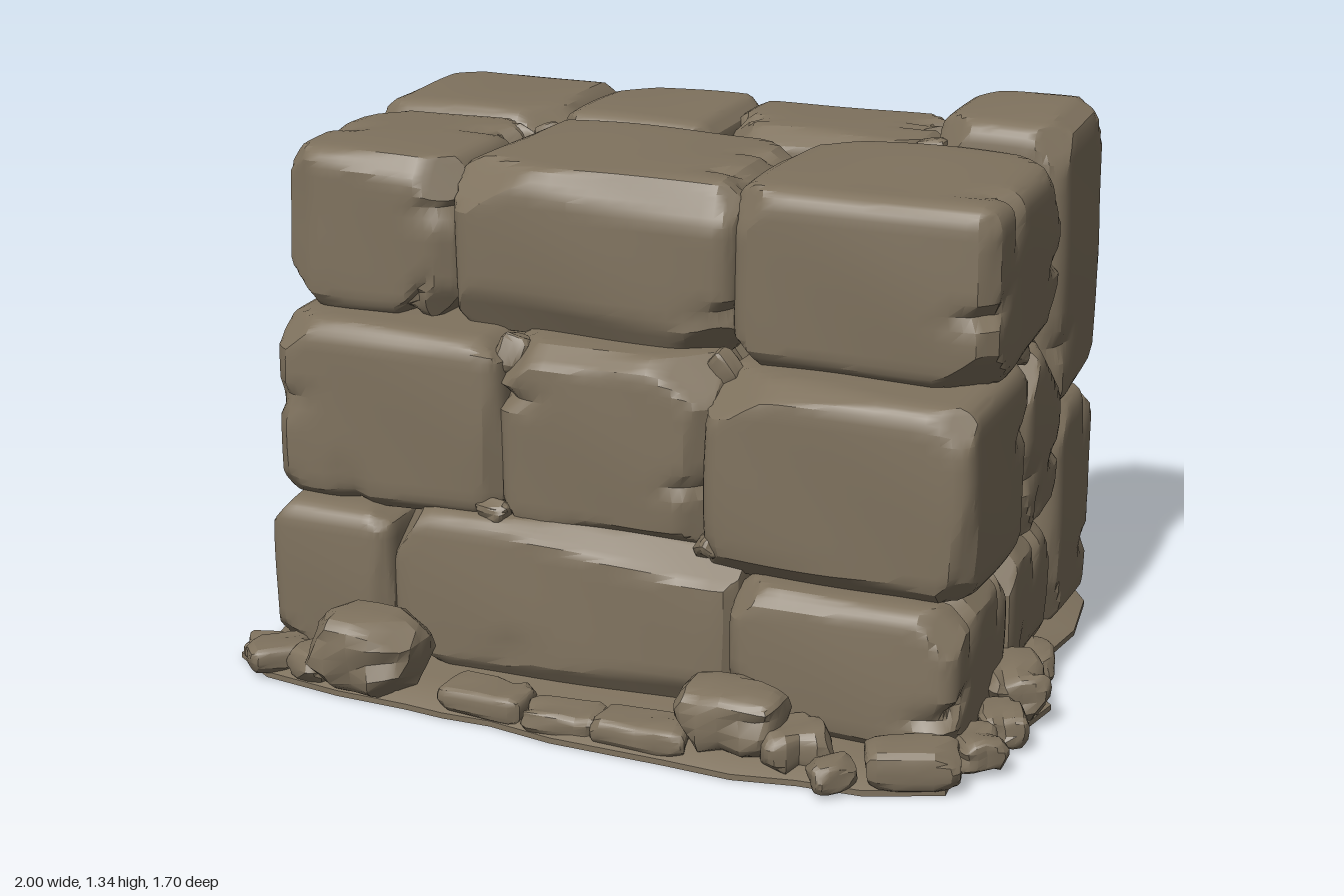
import * as THREE from 'three';
import { toCreasedNormals } from 'three/addons/utils/BufferGeometryUtils.js';

const stoneMat = new THREE.MeshStandardMaterial({ color: 0x7f725e });
stoneMat.name = 'weathered stone';

// small seeded random generator
function seeded(seed) {
  let s = seed * 7919 + 17;
  return (a = 0, b = 1) => {
    s = (s + 0x6d2b79f5) | 0;
    let t = Math.imul(s ^ (s >>> 15), 1 | s);
    t = (t + Math.imul(t ^ (t >>> 7), 61 | t)) ^ t;
    return a + (b - a) * (((t ^ (t >>> 14)) >>> 0) / 4294967296);
  };
}

// rounded block with planar chips, notched edges and a slight bulge
function stoneGeometry(w, h, d, seed, n = 18, wear = 1) {
  const rnd = seeded(seed);
  const half = new THREE.Vector3(w / 2, h / 2, d / 2);
  const least = Math.min(w, h, d);
  const r = Math.min(0.05, least * 0.25);
  const unit = Math.min(1, least / 0.35) * wear;

  // cutting planes on every corner and edge
  const cuts = [];
  const cut = (m, s, depth) => {
    const normal = new THREE.Vector3(...m).normalize();
    const corner = new THREE.Vector3(...s).multiply(half);
    cuts.push(new THREE.Plane(normal, -normal.dot(corner) + depth * unit));
  };
  for (const sx of [-1, 0, 1]) for (const sy of [-1, 0, 1]) for (const sz of [-1, 0, 1]) {
    const s = [sx, sy, sz];
    const zeros = s.filter((v) => v === 0).length;
    if (zeros > 1) continue;
    const m = s.map((v) => (v === 0 ? rnd(-0.08, 0.08) : v * rnd(0.4, 1)));
    cut(m, s, zeros ? rnd(0.015, 0.045) : rnd(0.05, 0.1));
  }

  // V-shaped notches across edges
  const axes = ['x', 'y', 'z'];
  const notches = [];
  for (let i = 0; i < 4; i++) {
    const k = Math.floor(rnd(0, 3));
    notches.push({
      a: axes[k], b: axes[(k + 1) % 3], c: axes[(k + 2) % 3],
      sb: rnd() < 0.5 ? -1 : 1, sc: rnd() < 0.5 ? -1 : 1,
      t: rnd(-0.6, 0.6), slant: rnd(-0.5, 0.5),
    });
  }

  const geo = new THREE.BoxGeometry(2, 2, 2, n, n, n);
  const pos = geo.attributes.position;
  const p = new THREE.Vector3(), q = new THREE.Vector3();
  const inner = half.clone().subScalar(r), low = inner.clone().negate();
  const spread = (c) => 0.55 * Math.sin((c * Math.PI) / 2) + 0.45 * c;
  const phase = rnd(0, 6);
  for (let i = 0; i < pos.count; i++) {
    p.fromBufferAttribute(pos, i);
    p.set(spread(p.x), spread(p.y), spread(p.z)).multiply(half);
    q.copy(p).clamp(low, inner);
    p.sub(q).setLength(r).add(q);
    const x = p.x / half.x, y = p.y / half.y, z = p.z / half.z;
    p.x *= 1 - 0.02 * (y * y + z * z);
    p.y *= 1 - 0.02 * (x * x + z * z);
    p.z *= 1 - 0.02 * (x * x + y * y);
    for (const c of notches) {
      const along = Math.abs(p[c.a] - c.t * half[c.a] - c.slant * (p[c.b] - c.sb * half[c.b]));
      const off = Math.hypot(p[c.b] - c.sb * half[c.b], p[c.c] - c.sc * half[c.c]);
      const pull = Math.max(0, 1 - along / 0.03) * Math.max(0, 1 - off / 0.14) * 0.035 * unit;
      p[c.b] -= c.sb * pull;
      p[c.c] -= c.sc * pull;
    }
    for (const c of cuts) {
      const over = c.distanceToPoint(p);
      if (over > 0) p.addScaledVector(c.normal, -over);
    }
    const wave = 0.005 * unit * Math.sin(9 * p.x + 7 * p.y + phase) * Math.cos(8 * p.z - 6 * p.y);
    p.addScaledVector(q.copy(p).normalize(), wave);
    pos.setXYZ(i, p.x, p.y, p.z);
  }
  geo.deleteAttribute('uv');
  geo.deleteAttribute('normal');
  return toCreasedNormals(geo, 0.45);
}

function add(parent, name, geo) {
  const mesh = new THREE.Mesh(geo, stoneMat);
  mesh.name = name;
  parent.add(mesh);
  return mesh;
}

// irregular ground slab made of stacked outlines
function slabGeometry() {
  const outline = [
    [-0.82, -0.74], [-0.78, -0.81], [-0.7, -0.84], [-0.62, -0.85], [-0.52, -0.84], [-0.4, -0.8], [-0.28, -0.81],
    [-0.1, -0.79], [0.15, -0.75], [0.18, -0.71], [0.4, -0.68], [0.6, -0.68], [0.74, -0.67], [0.8, -0.61],
    [0.96, -0.5], [1, -0.4], [0.99, -0.2], [0.95, -0.08], [0.96, 0.08], [0.92, 0.18], [0.97, 0.26], [0.93, 0.36],
    [0.88, 0.55], [0.79, 0.66], [0.78, 0.76], [0.6, 0.8], [0.45, 0.78], [0.3, 0.78], [0.14, 0.74], [0, 0.71],
    [-0.14, 0.68], [-0.3, 0.62], [-0.42, 0.6], [-0.52, 0.57], [-0.7, 0.53], [-0.9, 0.46], [-1, 0.36],
    [-0.95, 0.24], [-0.95, 0], [-0.88, -0.32], [-0.9, -0.4],
  ];
  const rings = [[0, 0], [1, 0], [1, 0.014], [0.94, 0.035], [0.86, 0.05], [0, 0.055]];
  const pts = [], idx = [], n = outline.length;
  for (const [s, y] of rings) for (const [x, z] of outline) pts.push(x * s, y, z * s);
  for (let i = 0; i < rings.length - 1; i++) for (let j = 0; j < n; j++) {
    const k = (j + 1) % n, a = i * n + j, b = i * n + k, c = a + n, d = b + n;
    idx.push(a, c, d, a, d, b);
  }
  const geo = new THREE.BufferGeometry();
  geo.setAttribute('position', new THREE.Float32BufferAttribute(pts, 3));
  geo.setIndex(idx);
  return toCreasedNormals(geo, 0.4);
}

export function createModel() {
  const model = new THREE.Group();
  model.name = 'stoneWall';
  add(model, 'groundSlab', slabGeometry());

  const wall = new THREE.Group();
  wall.name = 'wall';
  wall.rotation.y = -0.18;
  model.add(wall);

  // wall stones: name, x range, y range, z range along the wall's own axes, optional tilt
  const stones = [
    ['bottomFrontRight', -0.84, -0.52, 0.02, 0.42, 0.06, 0.51],
    ['bottomFrontMiddle', -0.53, 0.36, 0.02, 0.43, 0.0, 0.49, -0.04],
    ['bottomFrontLeft', 0.35, 0.89, 0.02, 0.375, 0.08, 0.53, -0.04],
    ['bottomLeftSide', 0.45, 0.89, 0.02, 0.37, -0.3, 0.1],
    ['bottomRightSide', -0.84, -0.45, 0.02, 0.42, -0.2, 0.08],
    ['bottomBackLeft', 0.56, 0.9, 0.02, 0.62, -0.62, -0.28],
    ['bottomBackMiddle', -0.37, 0.58, 0.02, 0.44, -0.62, -0.2],
    ['bottomBackRight', -0.87, -0.35, 0.02, 0.61, -0.625, -0.18],
    ['middleFrontRight', -0.85, -0.25, 0.41, 0.86, 0.0, 0.45],
    ['middleFrontMiddle', -0.26, 0.27, 0.4, 0.86, 0.0, 0.44],
    ['middleFrontLeft', 0.26, 0.9, 0.37, 0.84, 0.0, 0.47],
    ['middleLeftSide', 0.5, 0.9, 0.36, 0.83, -0.3, 0.03],
    ['middleRightSide', -0.84, -0.45, 0.41, 0.86, -0.2, 0.02],
    ['middleBack', -0.37, 0.57, 0.43, 0.86, -0.595, -0.15],
    ['topFrontRight', -0.86, -0.41, 0.855, 1.25, -0.17, 0.345],
    ['topFrontMiddle', -0.42, 0.29, 0.84, 1.255, -0.2, 0.345],
    ['topFrontLeft', 0.28, 0.9, 0.83, 1.26, -0.24, 0.335],
    ['topBackLeft', 0.58, 0.9, 0.62, 1.33, -0.61, -0.23, 0.04],
    ['topBackInnerLeft', 0.01, 0.57, 0.85, 1.255, -0.59, -0.21],
    ['topBackInnerRight', -0.37, 0.03, 0.85, 1.265, -0.59, -0.17],
    ['topBackRight', -0.87, -0.36, 0.6, 1.265, -0.605, -0.15],
  ];
  stones.forEach(([name, x0, x1, y0, y1, z0, z1, tilt = 0], i) => {
    const stone = add(wall, name, stoneGeometry(x1 - x0 + 0.015, y1 - y0 + 0.01, z1 - z0 + 0.015, i + 1));
    stone.position.set((x0 + x1) / 2, (y0 + y1) / 2, (z0 + z1) / 2);
    stone.rotation.x = tilt;
  });

  // mortar core hidden behind the joints
  add(wall, 'core', new THREE.BoxGeometry(1.6, 1.14, 0.74)).position.set(0.02, 0.6, -0.15);

  // chips wedged in the joints: x, y, z, size
  const chips = [
    [0.57, 1.24, -0.25, 0.07], [0.52, 1.23, -0.21, 0.05], [0.6, 1.23, -0.19, 0.05], [-0.42, 1.22, -0.08, 0.06],
    [-0.39, 1.22, -0.15, 0.05], [-0.25, 0.82, 0.37, 0.08], [0.27, 0.83, 0.33, 0.07], [-0.27, 0.44, 0.43, 0.07],
    [0.27, 0.43, 0.42, 0.07], [0.84, 0.84, -0.02, 0.08], [0.82, 0.83, -0.14, 0.07], [-0.8, 0.85, -0.02, 0.07],
  ];
  chips.forEach(([x, y, z, s], i) => {
    const chip = add(wall, 'jointChip', stoneGeometry(s * 1.3, s * 0.8, s, 60 + i, 4, 1.5));
    chip.position.set(x, y, z);
    chip.rotation.set(0.3 * i, 0.9 * i, 0.2);
  });

  // fallen rubble round the foot: x, z, width, height, depth, turn
  const rubble = [
    [-0.63, 0.48, 0.29, 0.2, 0.22, -0.25], [0.28, 0.66, 0.26, 0.17, 0.18, -0.2], [0.43, 0.69, 0.17, 0.1, 0.15, 0.4],
    [0.88, 0.3, 0.16, 0.13, 0.22, 0.3], [-0.88, 0.41, 0.17, 0.07, 0.12, 0.5], [-0.94, 0.35, 0.1, 0.05, 0.09, 0.1],
    [-0.77, 0.45, 0.13, 0.08, 0.13, 0.8], [0.53, 0.79, 0.12, 0.07, 0.09, 0.6], [0.7, 0.73, 0.22, 0.1, 0.14, 0.2],
    [0.83, 0.6, 0.12, 0.08, 0.16, 0.4], [0.08, 0.66, 0.24, 0.07, 0.13, -0.2], [-0.12, 0.62, 0.2, 0.06, 0.12, -0.1],
    [-0.32, 0.56, 0.22, 0.07, 0.13, -0.2], [0.87, 0.46, 0.12, 0.08, 0.15, 0.2], [0.91, 0.06, 0.1, 0.06, 0.16, 0.1],
    [0.7, -0.58, 0.22, 0.15, 0.14, -0.2], [0.84, -0.53, 0.12, 0.09, 0.1, 0.5], [0.2, -0.65, 0.2, 0.06, 0.12, -0.2],
  ];
  rubble.forEach(([x, z, w, h, d, turn], i) => {
    const rock = add(model, 'rubble', stoneGeometry(w, h, d, 90 + i, 6, 1.6));
    rock.position.set(x, h / 2 + 0.01, z);
    rock.rotation.y = turn;
  });
  return model;
}
